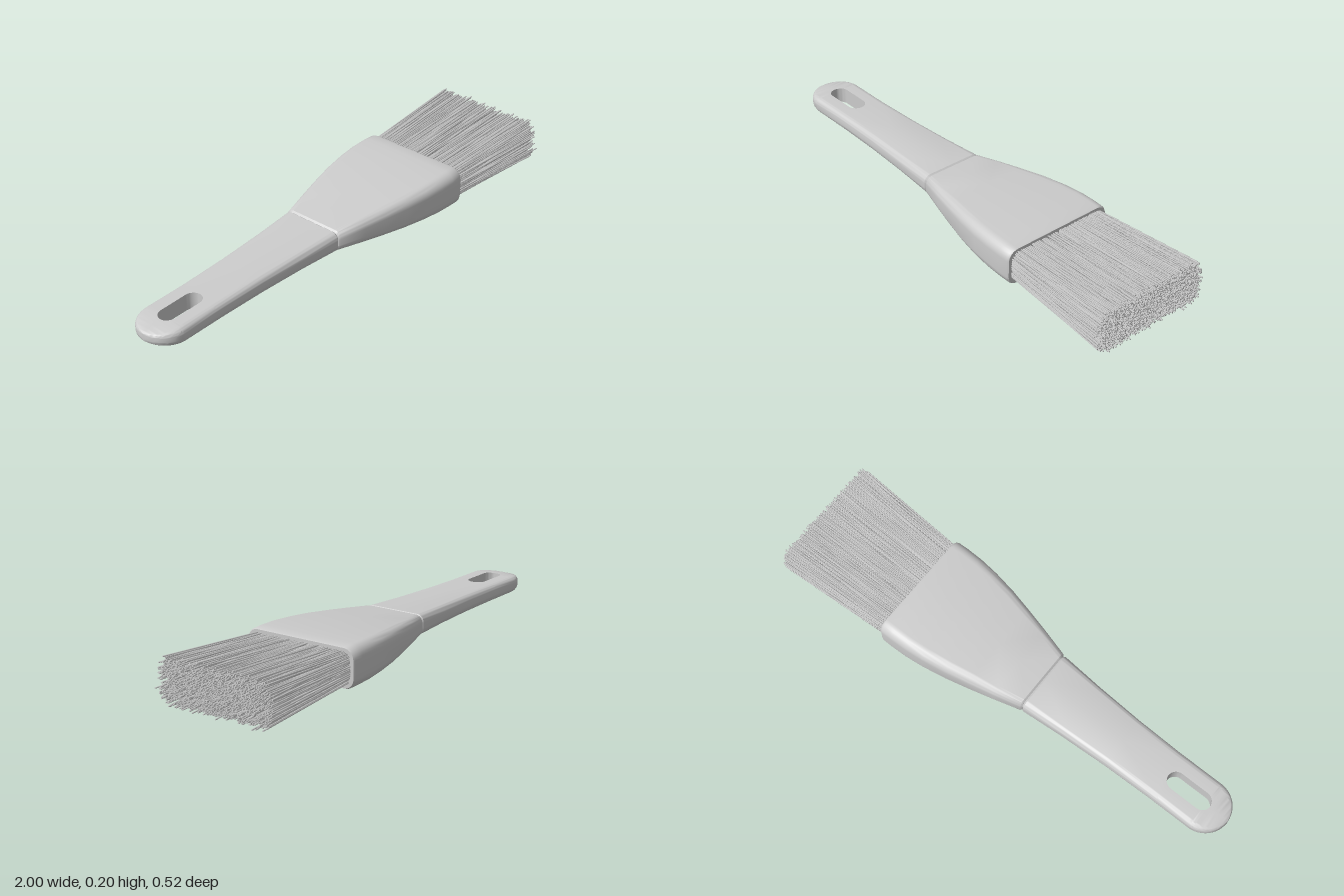
import * as THREE from 'three';
import { mergeGeometries, toCreasedNormals } from 'three/addons/utils/BufferGeometryUtils.js';

// Linear lookup in rows of [x, halfWidth, bottom, top, cornerRadius]
function stationAt(rows, x) {
  let i = 0;
  while (i < rows.length - 2 && x > rows[i + 1][0]) i++;
  const t = THREE.MathUtils.clamp((x - rows[i][0]) / (rows[i + 1][0] - rows[i][0]), 0, 1);
  return rows[i].map((v, k) => THREE.MathUtils.lerp(v, rows[i + 1][k], t));
}

// Half of a rounded rectangle: top middle, round the side, to bottom middle
function halfSection([x, hw, bottom, top, r], slot) {
  const rz = Math.min(r, hw), pts = [[x, top, slot]], n = 8;
  for (let k = 0; k <= n; k++) {
    const a = (k / n) * Math.PI / 2;
    pts.push([x, top - r + r * Math.cos(a), hw - rz + rz * Math.sin(a)]);
  }
  for (let k = n; k >= 0; k--) {
    const a = (k / n) * Math.PI / 2;
    pts.push([x, bottom + r - r * Math.cos(a), hw - rz + rz * Math.sin(a)]);
  }
  pts.push([x, bottom, slot]);
  return pts;
}

// Loft both mirrored halves along x, with an optional slot through the middle
function loftBody(stations, slotAt = () => 0) {
  const pos = [];
  const rings = stations.map(s => halfSection(s, slotAt(s[0])));
  const n = rings[0].length;
  for (const side of [1, -1]) {
    const tri = (a, b, c) => {
      for (const p of side > 0 ? [a, b, c] : [a, c, b]) pos.push(p[0], p[1], p[2] * side);
    };
    for (let i = 0; i < rings.length - 1; i++) {
      const A = rings[i], B = rings[i + 1];
      for (let j = 0; j < n; j++) {
        // the closing strip is the slot wall
        if (j === n - 1 && A[0][2] === 0 && B[0][2] === 0) continue;
        const k = (j + 1) % n;
        tri(A[j], A[k], B[j]);
        tri(B[j], A[k], B[k]);
      }
    }
    const first = rings[0], last = rings[rings.length - 1];
    for (let j = 1; j < n - 1; j++) {
      tri(first[0], first[j + 1], first[j]);
      tri(last[0], last[j], last[j + 1]);
    }
  }
  const g = new THREE.BufferGeometry();
  g.setAttribute('position', new THREE.Float32BufferAttribute(pos, 3));
  return toCreasedNormals(g, 0.65);
}

function seeded(seed) {
  return () => {
    seed = (seed * 1664525 + 1013904223) % 4294967296;
    return seed / 4294967296;
  };
}

function handleGeometry() {
  const body = [
    [-0.895, 0.105, 0.014, 0.082, 0.025],
    [-0.7, 0.105, 0.019, 0.089, 0.026],
    [-0.5, 0.11, 0.025, 0.098, 0.027],
    [-0.3, 0.121, 0.03, 0.108, 0.029],
    [-0.122, 0.135, 0.033, 0.118, 0.031],
    [-0.115, 0.13, 0.038, 0.113, 0.028],
  ];
  // slot with round ends
  const x0 = -0.915, x1 = -0.72, R = 0.037;
  const slotAt = x => {
    if (x <= x0 + 1e-6 || x >= x1 - 1e-6) return 0;
    const d = Math.max(x0 + R - x, x - (x1 - R), 0);
    return Math.sqrt(Math.max(R * R - d * d, 0));
  };
  const xs = body.map(b => b[0]);
  for (let k = 0; k <= 8; k++) {
    const c = Math.cos((k / 8) * Math.PI / 2) * R;
    xs.push(x0 + R - c, x1 - R + c);
  }
  // round tip
  for (let k = 0; k < 16; k++) xs.push(-0.895 - 0.105 * Math.cos((k / 16) * Math.PI / 2));
  xs.sort((a, b) => a - b);
  const stations = xs.map(x => {
    const s = stationAt(body, x);
    s[0] = x;
    if (x < -0.895) {
      const t = (-0.895 - x) / 0.105, round = Math.sqrt(Math.max(1 - t * t, 0));
      const half = 0.014 + 0.02 * Math.pow(1 - t, 0.55);
      s[1] = Math.max(0.105 * round, 0.002);
      s[2] = 0.048 - half;
      s[3] = 0.048 + half;
      s[4] = half * 0.74;
    }
    return s;
  });
  return loftBody(stations, slotAt);
}

function ferruleGeometry() {
  return loftBody([
    [-0.115, 0.131, 0.038, 0.113, 0.028],
    [-0.108, 0.138, 0.033, 0.12, 0.031],
    [0, 0.167, 0.027, 0.134, 0.035],
    [0.1, 0.192, 0.022, 0.146, 0.038],
    [0.2, 0.215, 0.018, 0.157, 0.041],
    [0.3, 0.232, 0.015, 0.165, 0.043],
    [0.38, 0.24, 0.013, 0.17, 0.044],
    [0.45, 0.242, 0.012, 0.172, 0.045],
    [0.495, 0.241, 0.012, 0.171, 0.045],
    [0.503, 0.237, 0.015, 0.168, 0.043],
  ]);
}

// Dense fan of thin rods, slightly splayed towards the tips
function bristleGeometry() {
  const rand = seeded(7), rods = [], cols = 72, rows = 26;
  const up = new THREE.Vector3(0, 1, 0);
  for (let i = 0; i < cols; i++) {
    for (let j = 0; j < rows; j++) {
      const u = ((i + rand()) / cols) * 2 - 1, v = ((j + rand()) / rows) * 2 - 1;
      // leave out the corners of the bundle
      const du = Math.max(Math.abs(u) - 0.85, 0) / 0.15, dv = Math.max(Math.abs(v) - 0.45, 0) / 0.55;
      if (du * du + dv * dv > 1) continue;
      const jitter = () => (rand() + rand() - 1) * 0.018;
      const root = new THREE.Vector3(0.48, 0.092 + v * 0.063, u * 0.222);
      const tip = new THREE.Vector3(0.98 + rand() * 0.018,
        Math.max(0.105 + v * 0.083 + jitter(), 0.004), u * 0.245 + jitter());
      const dir = tip.clone().sub(root), len = dir.length();
      const rod = new THREE.CylinderGeometry(0.0028, 0.003, len, 5, 1);
      rod.applyQuaternion(new THREE.Quaternion().setFromUnitVectors(up, dir.normalize()));
      const mid = root.add(tip).multiplyScalar(0.5);
      rods.push(rod.translate(mid.x, mid.y, mid.z));
    }
  }
  return mergeGeometries(rods);
}

export function createModel() {
  const group = new THREE.Group();
  group.name = 'brush';
  const material = new THREE.MeshStandardMaterial({ color: 0xcccccc });
  const add = (name, geometry) => {
    const mesh = new THREE.Mesh(geometry, material);
    mesh.name = name;
    group.add(mesh);
  };
  add('handle', handleGeometry());
  add('ferrule', ferruleGeometry());
  add('bristles', bristleGeometry());
  return group;
}
